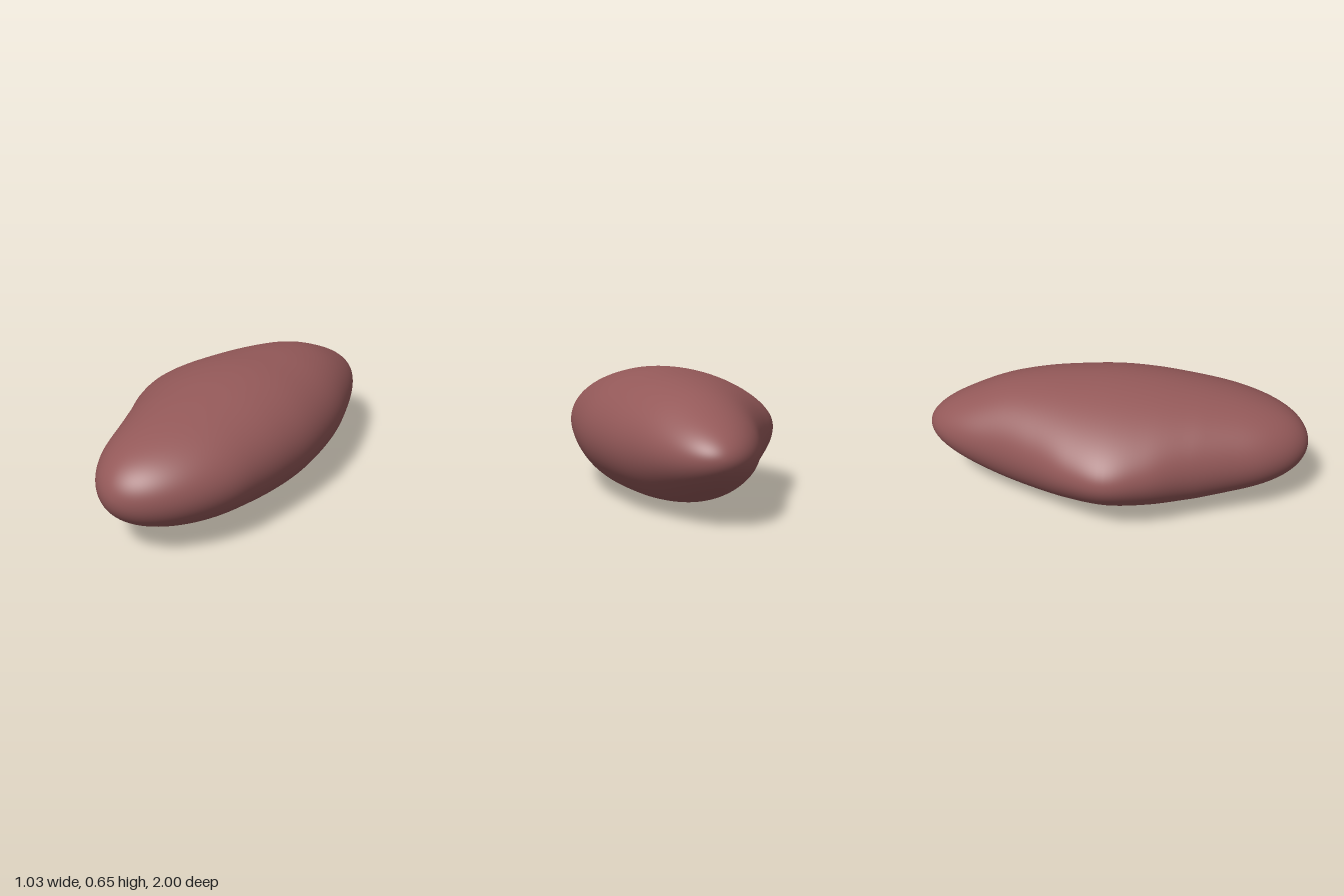
import * as THREE from 'three';
import { mergeVertices } from 'three/addons/utils/BufferGeometryUtils.js';

// Half-sizes of an elongated body relative to a unit sphere, at even steps from back (z = -1) to front (z = 1):
// [width toward -x, width toward +x, half-height]
const PROFILE = [
  [0.38, 0.38, 0.275], [0.383, 0.383, 0.295], [0.394, 0.394, 0.321], [0.453, 0.415, 0.324],
  [0.536, 0.429, 0.322], [0.585, 0.44, 0.325], [0.541, 0.444, 0.323], [0.469, 0.453, 0.318],
  [0.431, 0.475, 0.32], [0.433, 0.483, 0.335], [0.43, 0.475, 0.37],
];
const CENTRE_X = 0.072;
const CENTRE_Y = 0.327;

function bodyGeometry() {
  const curve = new THREE.CatmullRomCurve3(PROFILE.map((p) => new THREE.Vector3(...p)), false, 'catmullrom', 0.5);
  const sphere = new THREE.SphereGeometry(1, 128, 96).rotateX(Math.PI / 2);
  sphere.deleteAttribute('uv');
  sphere.deleteAttribute('normal');
  const geometry = mergeVertices(sphere, 1e-5);
  const pos = geometry.attributes.position;
  const size = new THREE.Vector3();
  for (let i = 0; i < pos.count; i++) {
    const x = pos.getX(i), y = pos.getY(i), z = pos.getZ(i);
    curve.getPoint(THREE.MathUtils.clamp((z + 1) / 2, 0, 1), size);
    // the side bulge tapers to a blunt, slightly raised nose
    const bulge = THREE.MathUtils.clamp((size.x - size.y) / 0.145, 0, 1);
    const side = x < 0 ? x * x * bulge : 0;
    pos.setXYZ(
      i,
      CENTRE_X + x * (x < 0 ? size.x : size.y),
      CENTRE_Y + y * size.z * (1 - 0.25 * side) + 0.012 * side,
      z,
    );
  }
  geometry.computeVertexNormals();
  return geometry;
}

export function createModel() {
  const group = new THREE.Group();
  group.name = 'smoothRock';
  const dustyRed = new THREE.MeshStandardMaterial({ color: 0x945959 });
  dustyRed.name = 'dustyRed';
  const body = new THREE.Mesh(bodyGeometry(), dustyRed);
  body.name = 'rockBody';
  group.add(body);
  return group;
}
